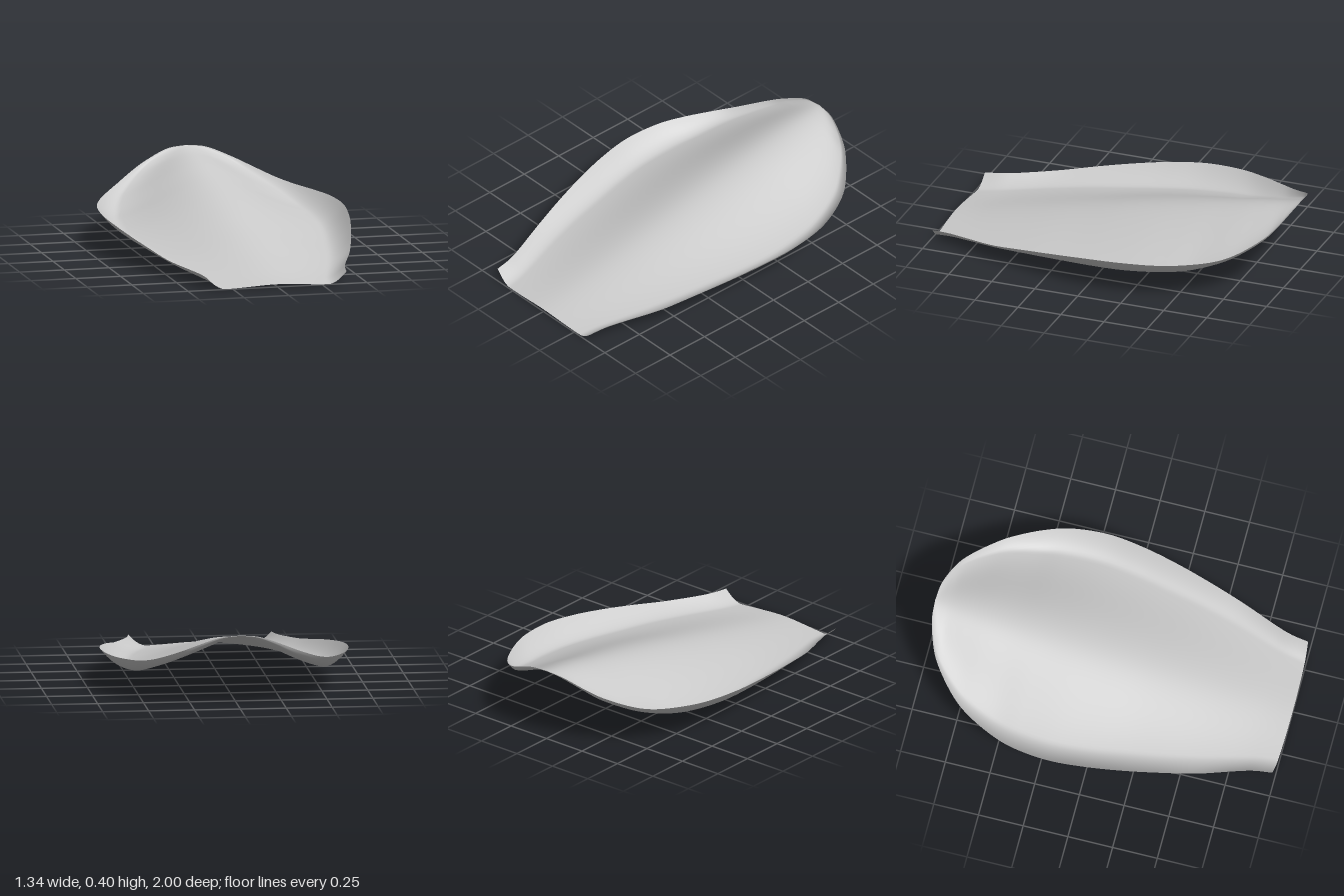
import * as THREE from 'three';

// Stations from rounded end to straight front edge:
// z, half width, height of centre ridge, of side valley, of rim, valley position across
const stations = [
  [-1.0, 0.0, 0.405, 0.403, 0.405, 0.92],
  [-0.99, 0.11, 0.398, 0.388, 0.392, 0.92],
  [-0.95, 0.236, 0.387, 0.335, 0.342, 0.91],
  [-0.9, 0.326, 0.377, 0.285, 0.3, 0.9],
  [-0.8, 0.44, 0.362, 0.225, 0.249, 0.88],
  [-0.7, 0.522, 0.346, 0.184, 0.224, 0.86],
  [-0.55, 0.602, 0.319, 0.142, 0.213, 0.83],
  [-0.4, 0.652, 0.292, 0.121, 0.208, 0.81],
  [-0.2, 0.672, 0.255, 0.102, 0.2, 0.8],
  [0.0, 0.653, 0.215, 0.086, 0.182, 0.79],
  [0.2, 0.615, 0.172, 0.071, 0.156, 0.78],
  [0.4, 0.565, 0.13, 0.056, 0.126, 0.78],
  [0.6, 0.507, 0.088, 0.038, 0.094, 0.77],
  [0.8, 0.435, 0.048, 0.019, 0.076, 0.76],
  [0.9, 0.405, 0.03, 0.01, 0.07, 0.75],
  [1.0, 0.39, 0.015, 0.0, 0.065, 0.74],
];

const smooth = (pick) =>
  new THREE.CatmullRomCurve3(stations.map((s) => new THREE.Vector3(...pick(s))), false, 'catmullrom');

// Ridge flank from 1 at the centre to 0 at the valley: rounded crest, nearly straight sides
function flank(t) {
  const k = 0.25;
  const straight = 1 - (Math.hypot(t, k) - k) / (Math.hypot(1, k) - k);
  const wave = Math.cos(t * Math.PI / 2) ** 2;
  return (straight + wave) / 2;
}

export function createModel() {
  const outline = smooth(([z, w, , , , valleyAt]) => [w, valleyAt, z]);
  const heights = smooth(([, , ridge, valley, rim]) => [ridge, valley, rim]);

  const cols = 80, rows = 150;
  const geometry = new THREE.PlaneGeometry(1, 1, cols, rows);
  const pos = geometry.attributes.position;

  // Each cross-section: a soft centre ridge, a valley each side and an upturned rim
  for (let j = 0; j <= rows; j++) {
    const o = outline.getPoint(j / rows);
    const h = heights.getPoint(j / rows);
    const bow = 0.015 * (j / rows) ** 4;
    for (let i = 0; i <= cols; i++) {
      const u = (2 * i) / cols - 1;
      const a = Math.abs(u);
      const y = a < o.y
        ? h.y + (h.x - h.y) * flank(a / o.y)
        : h.y + (h.z - h.y) * ((a - o.y) / (1 - o.y)) ** 1.8;
      pos.setXYZ(j * (cols + 1) + i, u * o.x, Math.max(y, 0), o.z - bow * u * u);
    }
  }
  geometry.computeVertexNormals();

  const shell = new THREE.Mesh(
    geometry,
    new THREE.MeshStandardMaterial({ color: 0xcccccc, side: THREE.DoubleSide })
  );
  shell.name = 'curvedShell';

  const group = new THREE.Group();
  group.name = 'cuppedBlade';
  group.add(shell);
  return group;
}
